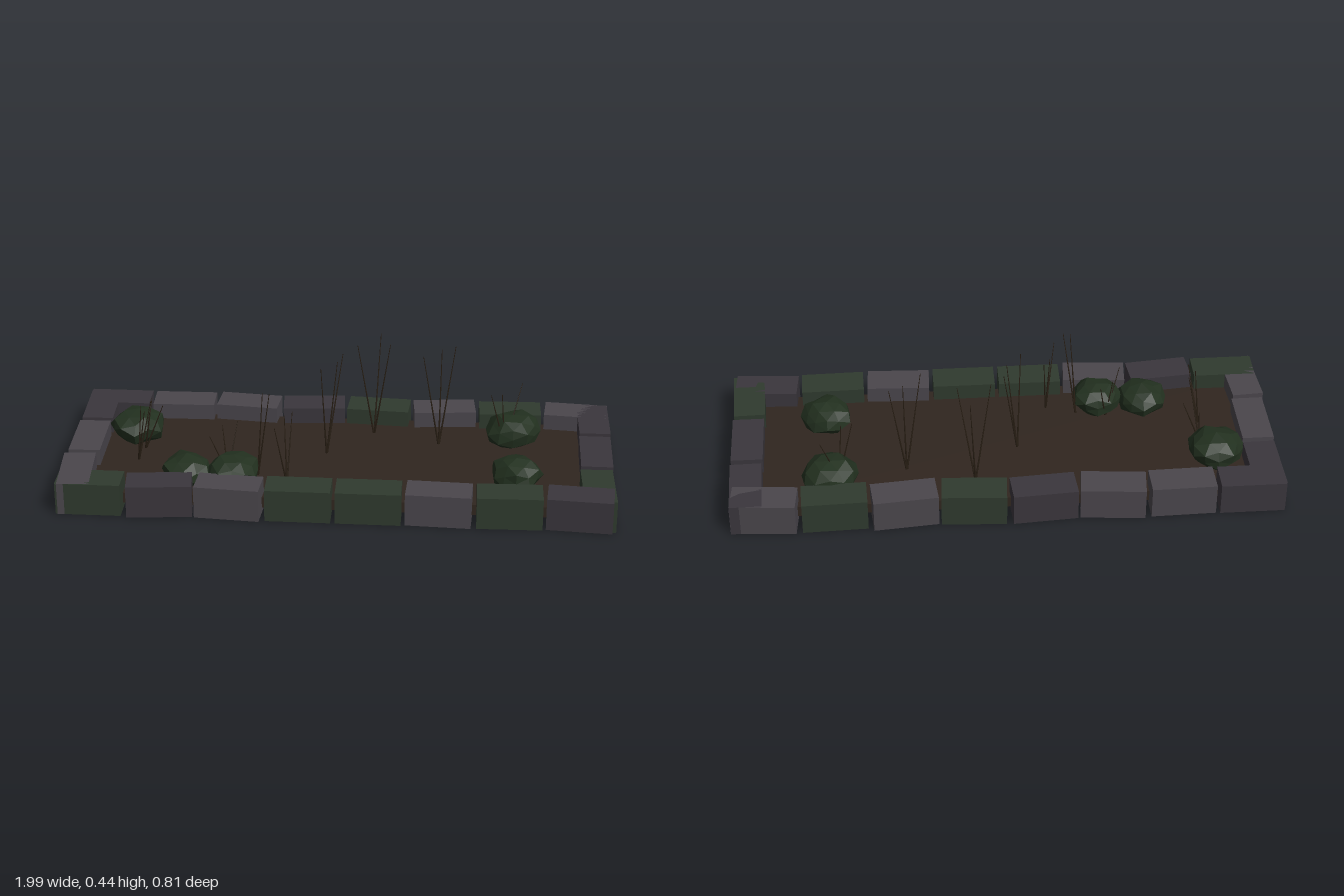
import * as THREE from 'three';

const mat = (color, extra = {}) => new THREE.MeshStandardMaterial({ color, ...extra });

export function createModel() {
  const model = new THREE.Group();
  const stoneMats = {
    d: mat(0x3a363c), // dark stone
    l: mat(0x4a464c), // light stone
    m: mat(0x2f3a2e), // mossy stone
  };
  const soilMat = mat(0x30261f);
  const bushMat = mat(0x22301f, { flatShading: true });
  const stemMat = mat(0x2a2015);

  // Soil bed
  const soil = new THREE.Mesh(new THREE.BoxGeometry(1.86, 0.04, 0.66), soilMat);
  soil.name = 'soilBed';
  soil.position.y = 0.04;
  model.add(soil);

  // Border of slightly turned blocks
  const border = new THREE.Group();
  border.name = 'stoneBorder';
  model.add(border);
  const longBlock = new THREE.BoxGeometry(0.232, 0.12, 0.115);
  const sideBlock = new THREE.BoxGeometry(0.115, 0.12, 0.245);
  const addBlock = (name, geo, x, z, turn, kind) => {
    const block = new THREE.Mesh(geo, stoneMats[kind]);
    block.name = name;
    block.position.set(x, 0.06, z);
    block.rotation.y = turn;
    border.add(block);
  };
  const backTurns = [0, 0.02, -0.09, 0.07, -0.06, 0.09, 0.03, -0.08];
  const frontTurns = [0, 0.1, -0.07, 0, 0, -0.04, 0.02, -0.07];
  for (let i = 0; i < 8; i++) {
    const x = -0.87 + i * 0.248;
    addBlock('backStone', longBlock, x, -0.34, backTurns[i], 'dlldmlml'[i]);
    addBlock('frontStone', longBlock, x, 0.335, frontTurns[i], 'mdlmmlmd'[i]);
  }
  const rightTurns = [0.02, 0, 0.03], leftTurns = [0.02, 0.01, 0.07];
  for (let i = 0; i < 3; i++) {
    const z = (i - 1) * 0.268;
    addBlock('leftSideStone', sideBlock, 0.93, z, rightTurns[i], 'ddm'[i]);
    addBlock('rightSideStone', sideBlock, -0.93, z, leftTurns[i], 'dll'[i]);
  }

  // Bushes: squashed, unevenly swollen faceted balls  [x, y, z, radius]
  const bushes = [
    [-0.77, 0.1, -0.14, 0.1],
    [0.63, 0.1, -0.2, 0.1],
    [0.64, 0.1, 0.155, 0.092],
    [-0.54, 0.093, 0.195, 0.092],
    [-0.37, 0.102, 0.2, 0.092],
  ];
  bushes.forEach(([x, y, z, r], k) => {
    const geo = new THREE.IcosahedronGeometry(1, 1);
    const p = geo.attributes.position;
    for (let i = 0; i < p.count; i++) {
      const a = p.getX(i), b = p.getY(i), c = p.getZ(i);
      const s = 1 + 0.09 * Math.sin(5 * a + 3 * b - 4 * c + k * 1.7);
      p.setXYZ(i, a * s * r, b * s * r * 0.66, c * s * r);
    }
    geo.computeVertexNormals();
    const bush = new THREE.Mesh(geo, bushMat);
    bush.name = 'bush';
    bush.position.set(x, y, z);
    model.add(bush);
  });

  // Dry stems: thin tapered spikes fanning out of a shared base
  // base [x, z], tip height, tips [x, z]
  const clumps = [
    [[-0.055, -0.035], 0.43, [[-0.07, 0.03], [-0.015, -0.035], [-0.0, -0.105]]],
    [[0.11, -0.215], 0.44, [[0.05, -0.165], [0.13, -0.28], [0.17, -0.18]]],
    [[0.355, -0.14], 0.44, [[0.295, -0.08], [0.36, -0.15], [0.41, -0.18]]],
    [[-0.18, 0.2], 0.305, [[-0.215, 0.27], [-0.19, 0.165], [-0.165, 0.13]]],
    [[-0.29, 0.155], 0.4, [[-0.24, 0.19], [-0.265, 0.185]]],
    [[-0.74, 0.065], 0.285, [[-0.7, 0.125], [-0.69, 0.04], [-0.72, 0.08]]],
    [[-0.73, -0.03], 0.23, [[-0.66, -0.04], [-0.7, 0.015], [-0.71, -0.1]]],
    [[-0.4, 0.14], 0.23, [[-0.455, 0.2], [-0.42, 0.11], [-0.37, 0.07]]],
    [[0.6, -0.16], 0.27, [[0.545, -0.13], [0.585, -0.14], [0.66, -0.245]]],
  ];
  const up = new THREE.Vector3(0, 1, 0);
  for (const [base, height, tips] of clumps) {
    const clump = new THREE.Group();
    clump.name = 'stemClump';
    const from = new THREE.Vector3(base[0], 0.05, base[1]);
    for (const [x, z] of tips) {
      const to = new THREE.Vector3(x, height, z);
      const dir = to.clone().sub(from);
      const stem = new THREE.Mesh(new THREE.CylinderGeometry(0.0012, 0.0035, dir.length(), 4), stemMat);
      stem.name = 'stem';
      stem.position.copy(from).lerp(to, 0.5);
      stem.quaternion.setFromUnitVectors(up, dir.normalize());
      clump.add(stem);
    }
    model.add(clump);
  }
  return model;
}
